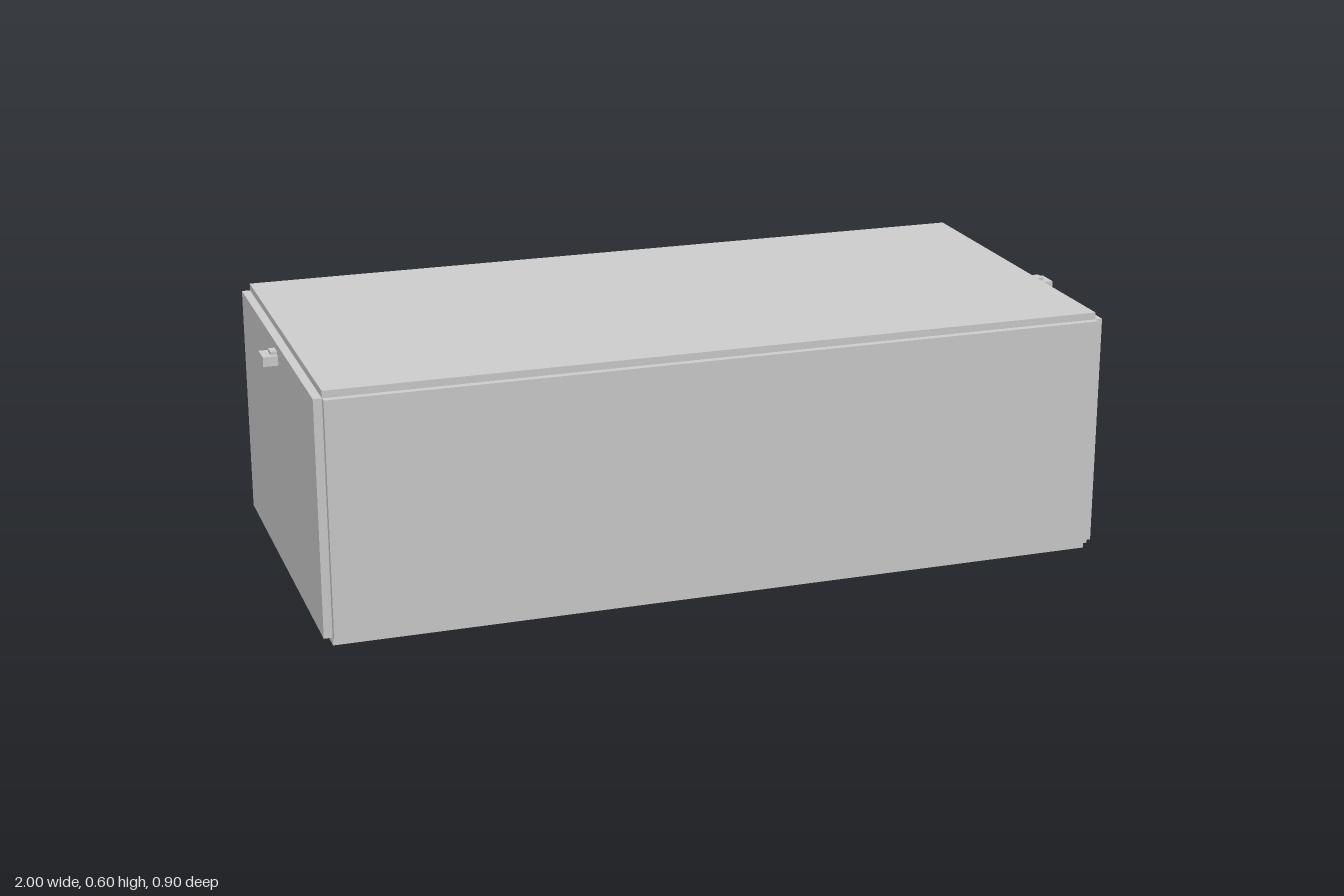
import * as THREE from 'three';

export function createModel() {
  const model = new THREE.Group();
  const material = new THREE.MeshStandardMaterial({ color: 0xcccccc, flatShading: true });

  // Box given by its limits on each axis
  function box(name, [x0, x1], [y0, y1], [z0, z1], parent = model) {
    const mesh = new THREE.Mesh(new THREE.BoxGeometry(x1 - x0, y1 - y0, z1 - z0), material);
    mesh.position.set((x0 + x1) / 2, (y0 + y1) / 2, (z0 + z1) / 2);
    mesh.name = name;
    parent.add(mesh);
    return mesh;
  }
  function group(name) {
    const g = new THREE.Group();
    g.name = name;
    model.add(g);
    return g;
  }

  const X = [-0.945, 0.907], Y = [0.019, 0.58], Z = [-0.45, 0.433];
  const bar = 0.035;

  // Outer panels, leaving a notch along each edge; the back is open
  box('topPanel', X, [0.58, 0.597], Z);
  box('bottomPanel', X, [0, 0.019], Z);
  box('frontPanel', X, Y, [0.433, 0.45]);
  box('leftPanel', [0.907, 0.925], Y, Z);
  box('rightPanel', [-0.965, -0.945], Y, Z);

  // Frame bars along the twelve edges of the case
  const frame = group('frame');
  const ends = ([a, b]) => [[a, a + bar], [b - bar, b]];
  for (const y of ends(Y)) for (const z of ends(Z)) box('frameRail', X, y, z, frame);
  for (const x of ends(X)) for (const z of ends(Z)) box('framePost', x, Y, z, frame);
  for (const x of ends(X)) for (const y of ends(Y)) box('frameSideRail', x, y, Z, frame);

  // Fine bars across the floor
  const floorBars = group('floorBars');
  for (let i = 0; i < 30; i++) {
    const x = -0.9 + i * 0.0609;
    box('floorBar', [x, x + 0.028], [0.019, 0.045], [-0.41, 0.4], floorBars);
  }

  // Ribs under the ceiling
  const ribs = group('ceilingRibs');
  for (let i = 0; i < 12; i++) {
    const x = 0.83 - i * 0.158;
    box('ceilingRib', [x, x + 0.025], [0.545, 0.58], [-0.41, 0.41], ribs);
  }

  // Row of hanging blocks, the first passing through the left wall
  const blocks = group('blockRow');
  for (let i = 0; i < 12; i++) {
    const x = 0.96 - i * 0.158;
    box('block', [x - 0.138, x], [0.233, 0.367], [-0.337, -0.29], blocks);
  }

  // Low double blocks standing on the floor
  const low = group('lowBlocks');
  for (const [z, start, count] of [[-0.28, -0.03, 4], [0.05, 0.22, 5]]) {
    for (let i = 0; i < count; i++) {
      const x = start - i * 0.235;
      box('lowBlock', [x - 0.075, x], [0.045, 0.17], [z, z + 0.05], low);
      box('lowBlock', [x - 0.165, x - 0.085], [0.045, 0.16], [z + 0.01, z + 0.07], low);
    }
  }

  // Small stepped lugs near the top of both side walls
  for (const s of [-1, 1]) {
    const out = (a, b) => (s > 0 ? [a, b] : [-b, -a]);
    const lug = group(s > 0 ? 'leftLug' : 'rightLug');
    box('lugBase', out(0.9, 1), [0.531, 0.554], [-0.034, 0.021], lug);
    box('lugStep', out(0.9, 0.98), [0.554, 0.562], [-0.021, 0.009], lug);
  }
  return model;
}
